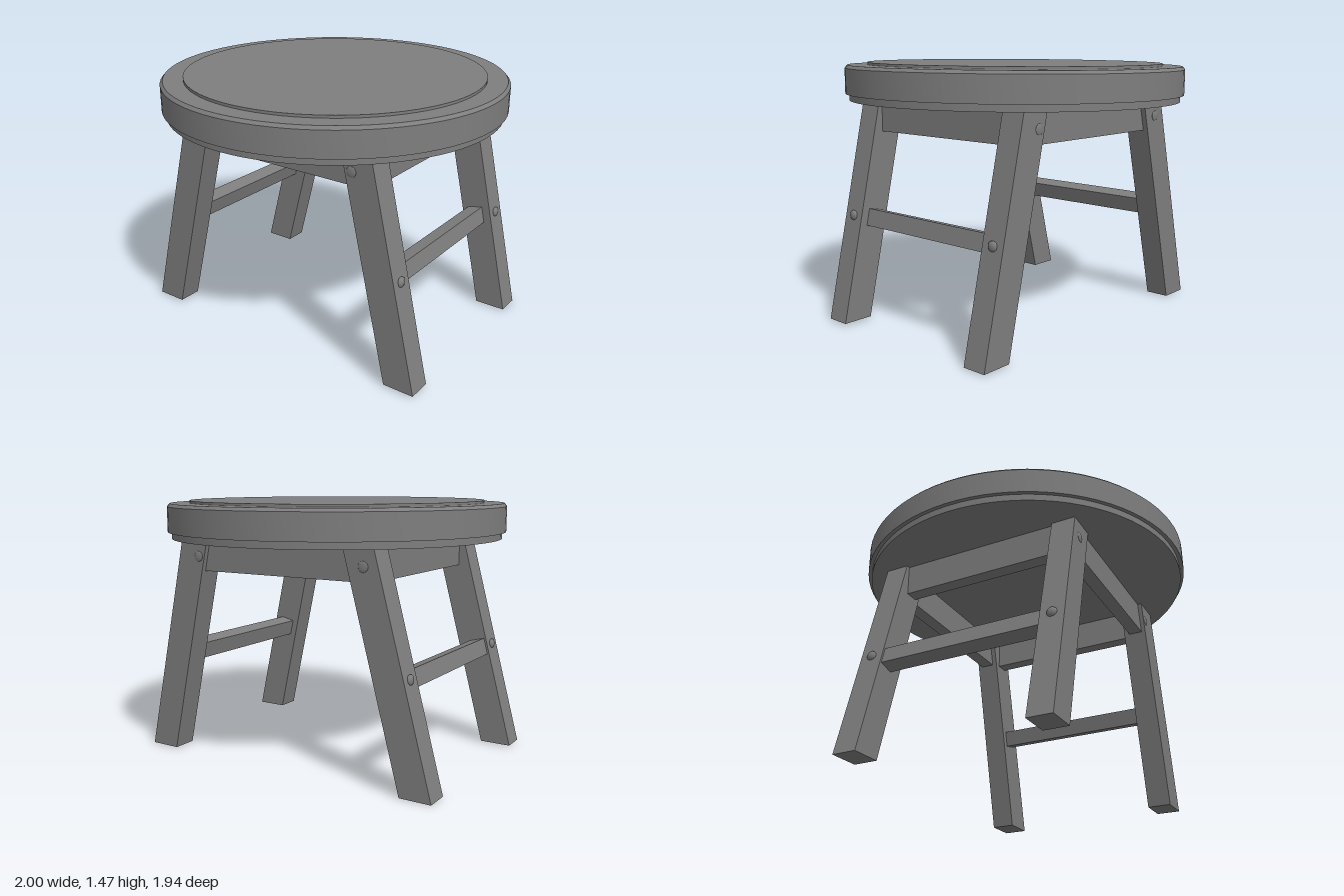
import * as THREE from 'three';
import { toCreasedNormals } from 'three/addons/utils/BufferGeometryUtils.js';

const material = new THREE.MeshStandardMaterial({ color: 0x7e7e7e });
const LEG_TOP = 1.257, LEG_WIDTH = 0.18, LEG_DEPTH = 0.138;
const FRONT = 0.53, BACK = -0.545; // leg centres in z

// Per side: foot centre, inward lean per unit height, stretcher, apron and peg positions in x
const SIDES = [
  { name: 'left', s: 1, foot: 0.84, lean: 0.225, stretcher: 0.705, apron: 0.59, peg: 0.532 },
  { name: 'right', s: -1, foot: 0.835, lean: 0.267, stretcher: 0.712, apron: 0.53, peg: 0.532 },
];

export function createModel() {
  const model = new THREE.Group();
  model.name = 'stool';
  const body = new THREE.Group();
  body.name = 'stoolBody';
  body.rotation.y = 0.13;
  model.add(body);

  const add = (name, geometry, x = 0, y = 0, z = 0) => {
    const mesh = new THREE.Mesh(geometry, material);
    mesh.name = name;
    mesh.position.set(x, y, z);
    body.add(mesh);
    return mesh;
  };

  // Round seat: recessed lower lip, chamfered rim and raised top panel
  const profile = [
    [0, 1.247], [0.95, 1.247], [0.95, 1.285], [0.972, 1.285], [0.972, 1.427],
    [0.957, 1.444], [0.846, 1.444], [0.846, 1.459], [0, 1.459],
  ].map(([r, y]) => new THREE.Vector2(r, y));
  add('seat', toCreasedNormals(new THREE.LatheGeometry(profile, 80), 0.5), 0.008, 0, 0.007);

  // Shallow domed pegs
  const addPeg = (name, x, y, z, axis, dome) => {
    const peg = add(name, new THREE.SphereGeometry(0.029, 16, 10), x, y, z);
    peg.scale[axis] = dome;
  };

  for (const { name, s, foot, lean, stretcher, apron, peg } of SIDES) {
    for (const [end, z] of [['front', FRONT], ['back', BACK]]) {
      // Leaning leg cut level at floor and seat
      const leg = new THREE.BoxGeometry(LEG_WIDTH, LEG_TOP, LEG_DEPTH);
      leg.translate(0, LEG_TOP / 2, 0);
      const p = leg.attributes.position;
      for (let i = 0; i < p.count; i++) p.setX(i, p.getX(i) - s * lean * p.getY(i));
      leg.computeVertexNormals();
      add(`${end}Leg_${name}`, leg, s * foot, 0, z);

      // Pegs for the apron joint and the stretcher joint
      const face = z + Math.sign(z) * LEG_DEPTH / 2;
      addPeg(`${end}ApronPeg_${name}`, s * peg, 1.152, face, 'z', 0.2);
      const outer = foot + LEG_WIDTH / 2 - lean * 0.597;
      addPeg(`${end}StretcherPeg_${name}`, s * outer, 0.597, z, 'x', 0.55);
    }
    // Stretcher tilted with the legs
    const bar = add(`stretcher_${name}`, new THREE.BoxGeometry(0.09, 0.097, 1.02), s * stretcher, 0.58, -0.008);
    bar.rotation.z = s * Math.atan(lean);

    // Side apron
    add(`sideApron_${name}`, new THREE.BoxGeometry(0.08, 0.185, 1.02), s * apron, 1.162, -0.008);
  }

  // Front and back aprons
  for (const [end, z] of [['front', 0.535], ['back', -0.545]])
    add(`${end}Apron`, new THREE.BoxGeometry(1.06, 0.185, 0.08), 0.03, 1.162, z);

  // Slight lean of the whole stool
  model.rotation.set(-0.005, 0, 0.003);
  model.position.y = 0.006;
  return model;
}
